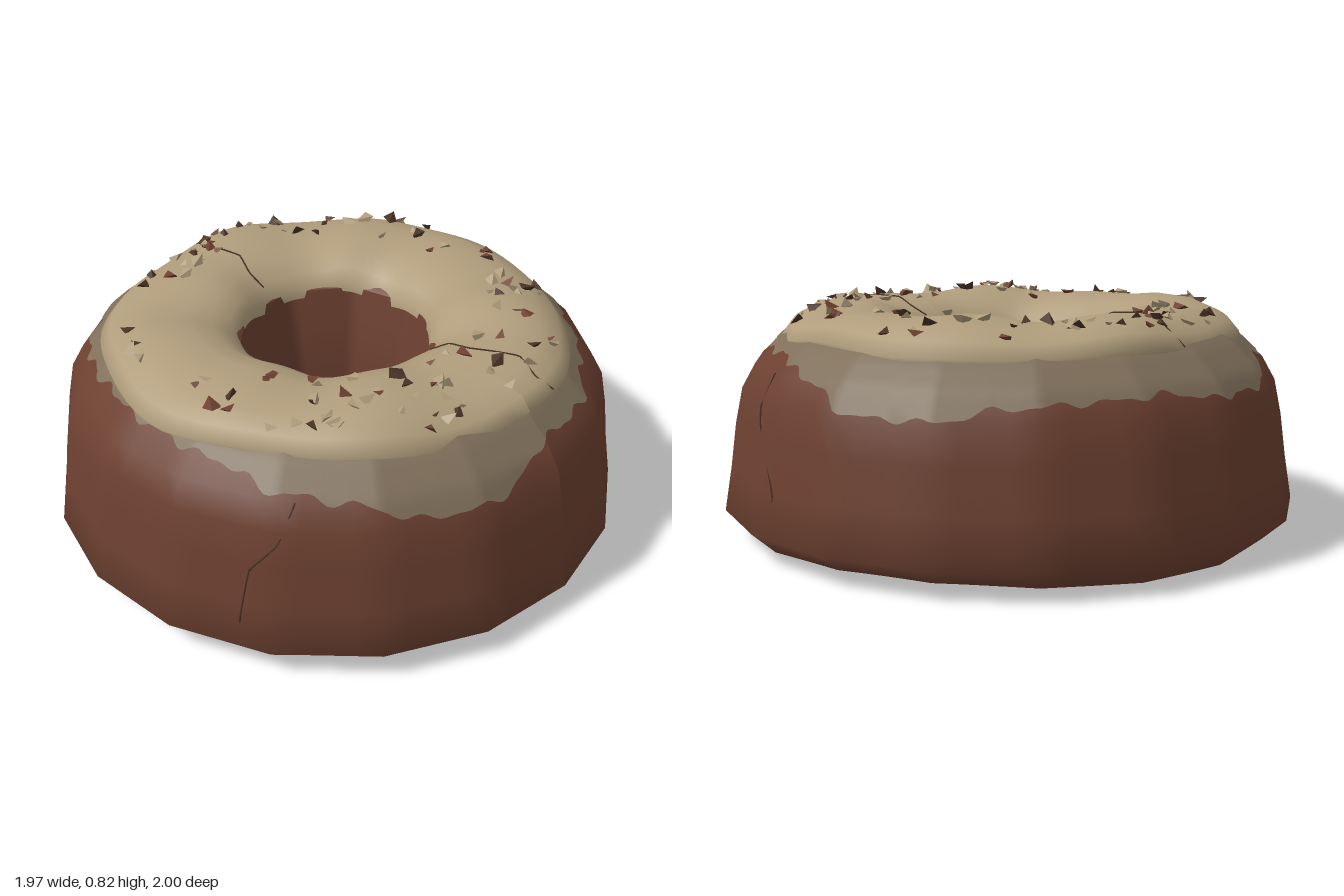
import * as THREE from 'three';
import { mergeGeometries } from 'three/addons/utils/BufferGeometryUtils.js';

const V2 = (p) => new THREE.Vector2(p[0], p[1]);
const mat = (name, color, side = THREE.FrontSide) => {
  const m = new THREE.MeshStandardMaterial({ color, side });
  m.name = name;
  return m;
};

// small seeded generator
let seed = 11;
const rnd = () => ((seed = (seed * 16807) % 2147483647) / 2147483647);

// piecewise linear lookup in [key, value] pairs sorted by key
function lookup(pairs, k) {
  for (let i = 1; i < pairs.length; i++) {
    if (k <= pairs[i][0]) {
      const [a, b] = [pairs[i - 1], pairs[i]];
      return a[1] + (b[1] - a[1]) * Math.max(0, (k - a[0]) / (b[0] - a[0]));
    }
  }
  return pairs[pairs.length - 1][1];
}

// faceted outline: multiplier that turns a circle into a polygon
function facet(t, sides) {
  const step = (Math.PI * 2) / sides;
  const m = ((t % step) + step) % step;
  return Math.cos(step / 2) / Math.cos(m - step / 2);
}

// outer wall radius at each height
const WALL = [[0.03, 0.92], [0.1, 1], [0.25, 0.975], [0.4, 0.955], [0.52, 0.93], [0.6, 0.885], [0.68, 0.8], [0.73, 0.72]];
// icing height at each radius
const ICING = [[0.33, 0.67], [0.36, 0.715], [0.42, 0.755], [0.5, 0.778], [0.6, 0.782], [0.69, 0.768], [0.76, 0.735], [0.795, 0.69]];
const icingWave = (t, r) => 0.009 * Math.sin(5 * t + 8 * r) + 0.006 * Math.sin(9 * t + 1);
const icingStretch = (t) => 1 + 0.014 * Math.sin(3 * t + 1) + 0.01 * Math.sin(7 * t);

// lathe whose vertices are moved by rule(angle, radius, height) -> [radius, height]
function ring(points, segments, rule) {
  const g = new THREE.LatheGeometry(points.map(V2), segments);
  const p = g.attributes.position;
  const n = points.length;
  for (let i = 0; i < p.count; i++) {
    const t = (Math.floor(i / n) % segments) / segments * Math.PI * 2;
    const [r, y] = rule(t, points[i % n][0], points[i % n][1]);
    p.setXYZ(i, r * Math.sin(t), y, r * Math.cos(t));
  }
  g.computeVertexNormals();
  return g;
}

// lower edge of the thin glaze, every 15 degrees from the front towards the left
const EDGE = [0.62, 0.61, 0.64, 0.66, 0.65, 0.65, 0.6, 0.52, 0.52, 0.56, 0.57, 0.58,
  0.55, 0.55, 0.62, 0.63, 0.66, 0.67, 0.67, 0.66, 0.62, 0.6, 0.54, 0.54];
function glazeEdge(t) {
  const u = (t / (Math.PI * 2)) * 24;
  const i = Math.floor(u) % 24;
  const f = THREE.MathUtils.smoothstep(u - Math.floor(u), 0, 1);
  return EDGE[i] + (EDGE[(i + 1) % 24] - EDGE[i]) * f + 0.008 * Math.sin(t * 31) + 0.005 * Math.sin(t * 53);
}

const onWall = (t, y) => {
  const r = lookup(WALL, y) * facet(t, 18) + 0.002;
  return new THREE.Vector3(r * Math.sin(t), y, r * Math.cos(t));
};
const onIcing = (t, r) => {
  const y = lookup(ICING, r) + icingWave(t, r) + 0.001;
  const s = r * icingStretch(t);
  return new THREE.Vector3(s * Math.sin(t), y, s * Math.cos(t));
};

export function createModel() {
  seed = 11;
  const group = new THREE.Group();
  group.name = 'doughnut';
  const cake = mat('chocolate cake', 0x6c4030);
  const glaze = mat('thin glaze', 0x7f6f5a, THREE.DoubleSide);
  const cream = mat('cream icing', 0xb09d7c, THREE.DoubleSide);
  const crumb = mat('dark crumb', 0x4a3224);
  const add = (name, geometry, material) => {
    const m = new THREE.Mesh(geometry, material);
    m.name = name;
    group.add(m);
  };

  // cake: flat base, bulging wall, domed top, faceted hole
  const wall = WALL.map(([y, r]) => [r, y]);
  const profile = [
    [0.3, 0.02], [0.6, 0.012], [0.92, 0.03], ...wall,
    [0.55, 0.745], [0.42, 0.72], [0.345, 0.66], [0.345, 0.66], [0.31, 0.5], [0.285, 0.35], [0.285, 0.15], [0.3, 0.02],
  ];
  add('cake', ring(profile, 72, (t, r, y) => [
    r * facet(t, r > 0.45 ? 18 : 9),
    y < 0.035 ? y + 0.011 * Math.sin(3 * t + 2) : y,
  ]), cake);

  // thin glaze running down the wall to a wavy edge
  const rows = Array.from({ length: 8 }, (_, i) => [0.8, i / 7]);
  add('glazeDrips', ring(rows, 288, (t, r, v) => {
    const y = THREE.MathUtils.lerp(glazeEdge(t), 0.705, v);
    return [lookup(WALL, y) * facet(t, 18) + 0.006, y];
  }), glaze);

  // icing cap with a short lip inside and out
  const cap = [[0.775, 0.655], ...ICING.map(([r, y]) => [r, y]).reverse(), [0.325, 0.635]];
  add('icing', ring(cap, 80, (t, r, y) => [r * icingStretch(t), y + icingWave(t, r)]), cream);

  // creases across the icing and down the wall
  const crease = (name, points) => {
    const path = new THREE.CatmullRomCurve3(points, false, 'catmullrom', 0.1);
    add(name, new THREE.TubeGeometry(path, 30, 0.0035, 4), crumb);
  };
  const across = (t) => [0.36, 0.42, 0.5, 0.58, 0.66, 0.74, 0.79]
    .map((r, i) => onIcing(t + 0.04 * Math.sin(i * 2.1), r));
  crease('frontIcingCrease', across(0.17));
  crease('backIcingCrease', across(Math.PI - 0.03));
  crease('leftWallCrease', [[1.34, 0.6], [1.33, 0.5], [1.36, 0.44], [1.48, 0.24], [1.47, 0.07]].map(([t, y]) => onWall(t, y)));
  crease('rightWallCrease', [[-0.98, 0.6], [-1.03, 0.48], [-1.12, 0.38], [-1.15, 0.2], [-1.15, 0.07]].map(([t, y]) => onWall(t, y)));

  // nut and chocolate shards scattered over the icing, with a bare patch at the back right
  const shards = { cream: [], cake: [], crumb: [] };
  const names = ['cream', 'crumb', 'cream', 'cake'];
  let made = 0;
  while (made < 110) {
    const t = rnd() * Math.PI * 2;
    const r = 0.42 + 0.33 * Math.sqrt(rnd());
    if (t > 3.7 && t < 4.65 && r < 0.69) continue;
    const at = onIcing(t, r);
    const s = 0.014 + 0.02 * rnd();
    const g = new THREE.TetrahedronGeometry(1).toNonIndexed?.() ?? new THREE.TetrahedronGeometry(1);
    g.scale(s * 1.3, s * 0.55, s);
    g.rotateX((rnd() - 0.5) * 1.6);
    g.rotateZ((rnd() - 0.5) * 1.6);
    g.rotateY(rnd() * 6.28);
    g.translate(at.x, at.y + s * 0.25, at.z);
    g.computeVertexNormals();
    shards[names[made % 4]].push(g);
    made++;
  }
  add('nutShards', mergeGeometries(shards.cream), cream);
  add('chocolateShards', mergeGeometries(shards.cake), cake);
  add('darkShards', mergeGeometries(shards.crumb), crumb);
  return group;
}
